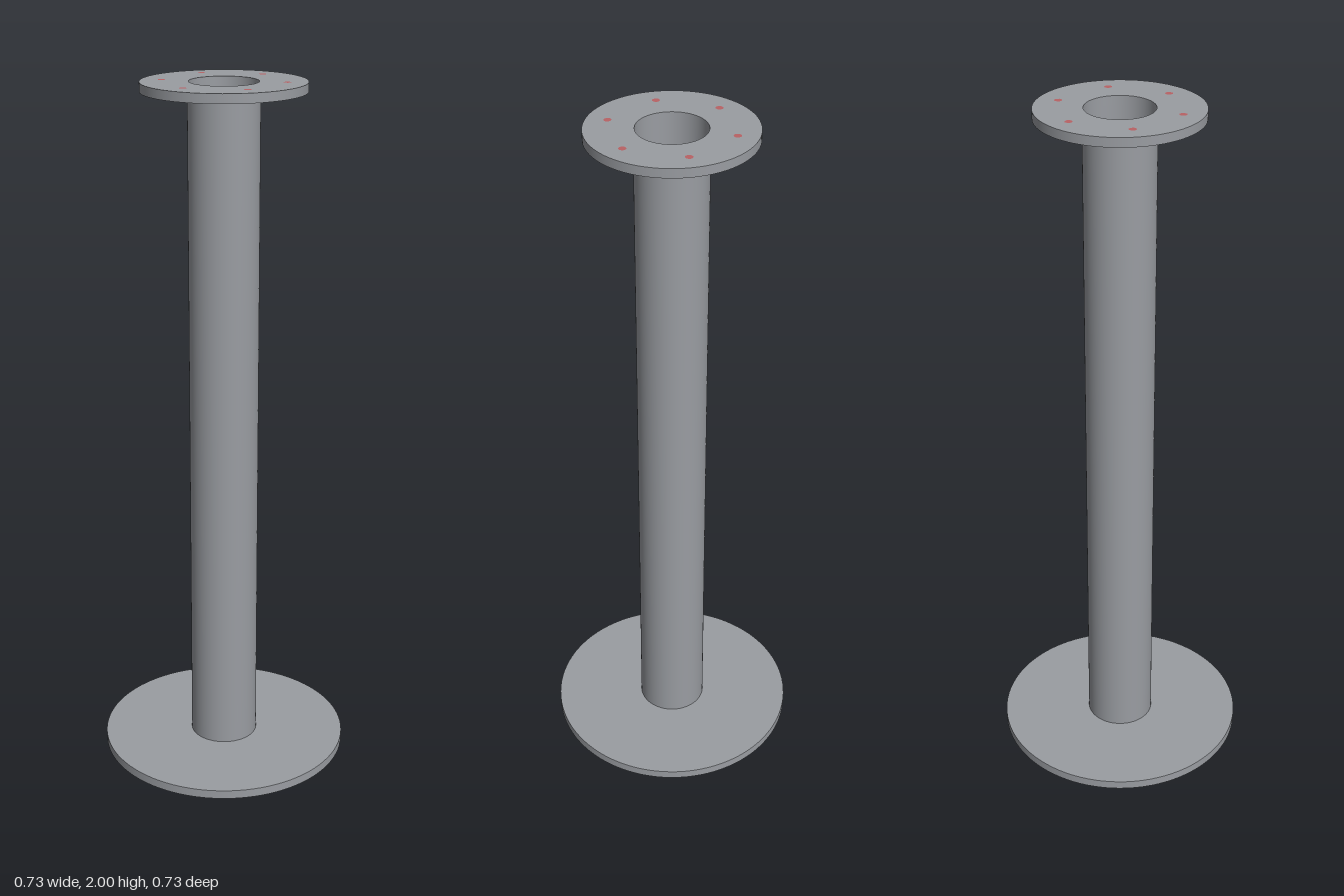
import * as THREE from 'three';
import { mergeGeometries } from 'three/addons/utils/BufferGeometryUtils.js';

const SEGMENTS = 96;
const BORE = 0.095, TUBE = 0.099, FLANGE = 0.227, BASE = 0.363;
const PLATE = 0.026, HEIGHT = 2;

// Hollow ring with crisp rims: each side of its section is its own lathe
function ringGeometry(inner, outer, bottom, top) {
  const corners = [
    [inner, bottom], [outer, bottom], [outer, top], [inner, top],
  ].map(([r, y]) => new THREE.Vector2(r, y));
  return mergeGeometries(corners.map((corner, i) =>
    new THREE.LatheGeometry([corner, corners[(i + 1) % 4]], SEGMENTS)));
}

export function createModel() {
  const steel = new THREE.MeshStandardMaterial({ color: 0x9a9da2 });
  steel.name = 'steel grey';
  const red = new THREE.MeshStandardMaterial({ color: 0xb86264 });
  red.name = 'bolt red';

  const model = new THREE.Group();
  model.name = 'flangedPost';
  const add = (name, geometry, material, x = 0, y = 0, z = 0) => {
    const mesh = new THREE.Mesh(geometry, material);
    mesh.name = name;
    mesh.position.set(x, y, z);
    model.add(mesh);
  };

  // Solid foot, open tube and top flange
  add('basePlate', new THREE.CylinderGeometry(BASE, BASE, PLATE, SEGMENTS), steel, 0, PLATE / 2, 0);
  add('tube', ringGeometry(BORE, TUBE, PLATE, HEIGHT - PLATE), steel);
  add('topFlange', ringGeometry(BORE, FLANGE, HEIGHT - PLATE, HEIGHT), steel);

  // Six bolt marks, practically flush with the flange
  const mark = new THREE.CircleGeometry(0.011, 8).rotateX(-Math.PI / 2);
  for (let i = 0; i < 6; i++) {
    const a = i * Math.PI / 3;
    add('boltMark' + (i + 1), mark, red, 0.17 * Math.cos(a), HEIGHT + 0.0004, 0.17 * Math.sin(a));
  }
  return model;
}
